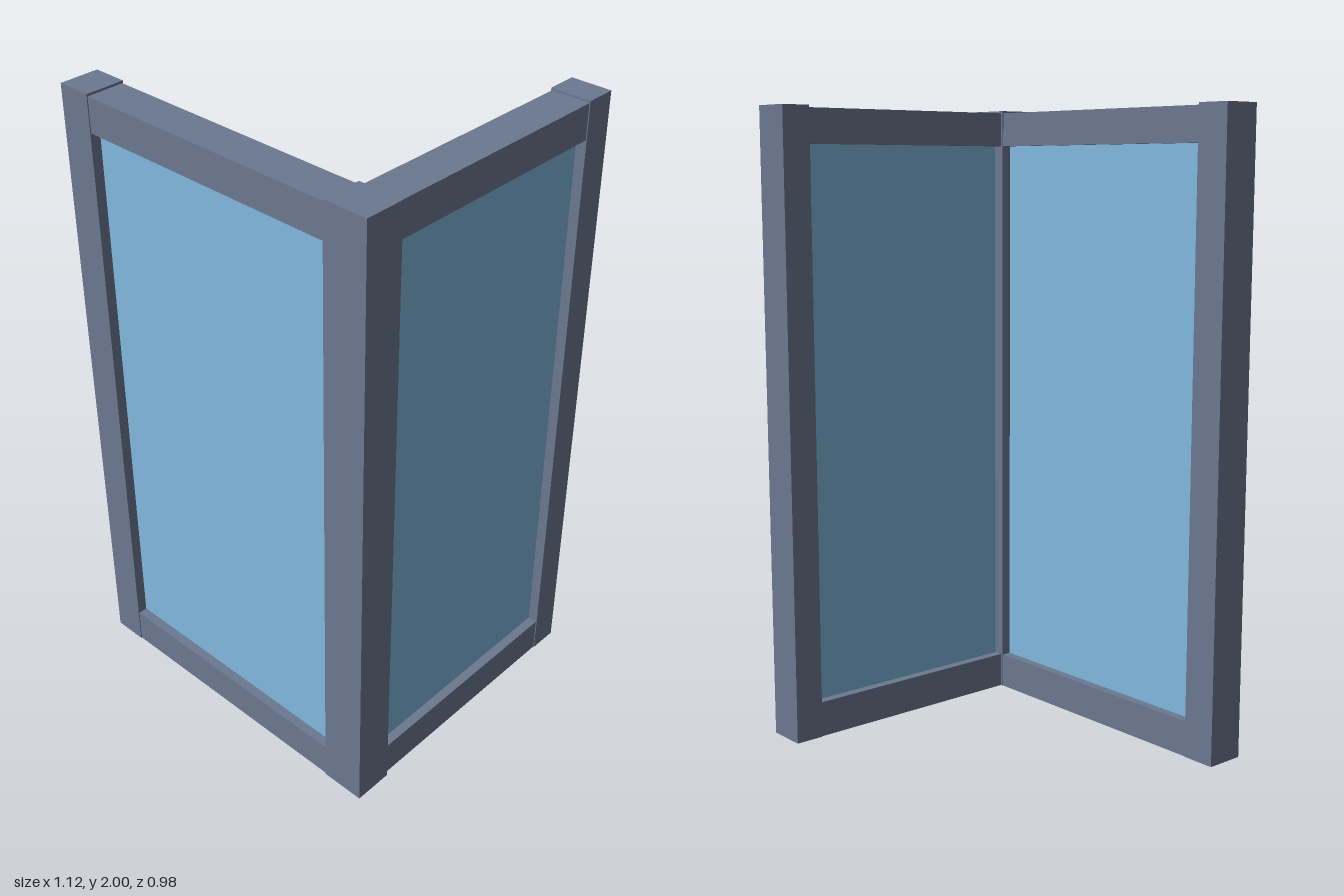
import * as THREE from 'three';

export function createModel() {
  const model = new THREE.Group();
  model.name = 'cornerWindow';
  const frame = new THREE.MeshStandardMaterial({ color: 0x6b7890 });
  const glass = new THREE.MeshStandardMaterial({ color: 0x80b8de });

  // Box given by its limits on each axis
  const box = (name, [x0, x1], [y0, y1], [z0, z1], material, parent) => {
    const mesh = new THREE.Mesh(new THREE.BoxGeometry(x1 - x0, y1 - y0, z1 - z0), material);
    mesh.position.set((x0 + x1) / 2, (y0 + y1) / 2, (z0 + z1) / 2);
    mesh.name = name;
    parent.add(mesh);
  };

  // Upright posts, slightly taller and deeper than the rails
  const full = [0, 2];
  box('endPost', [-0.563, -0.453], full, [0.365, 0.492], frame, model);
  box('cornerPost', [0.42, 0.562], full, [0.365, 0.492], frame, model);
  box('backPost', [0.426, 0.555], full, [-0.492, -0.397], frame, model);

  // Panels: bottom and top rails with a recessed pane between them
  const addPanel = (name, railX, railZ, paneX, paneZ) => {
    const panel = new THREE.Group();
    panel.name = name;
    box('bottomRail', railX, [0, 0.115], railZ, frame, panel);
    box('topRail', railX, [1.885, 1.993], railZ, frame, panel);
    box('pane', paneX, [0.115, 1.885], paneZ, glass, panel);
    model.add(panel);
  };
  addPanel('frontPanel', [-0.453, 0.42], [0.368, 0.489], [-0.453, 0.42], [0.398, 0.459]);
  addPanel('sidePanel', [0.429, 0.552], [-0.397, 0.365], [0.459, 0.522], [-0.397, 0.365]);

  return model;
}
